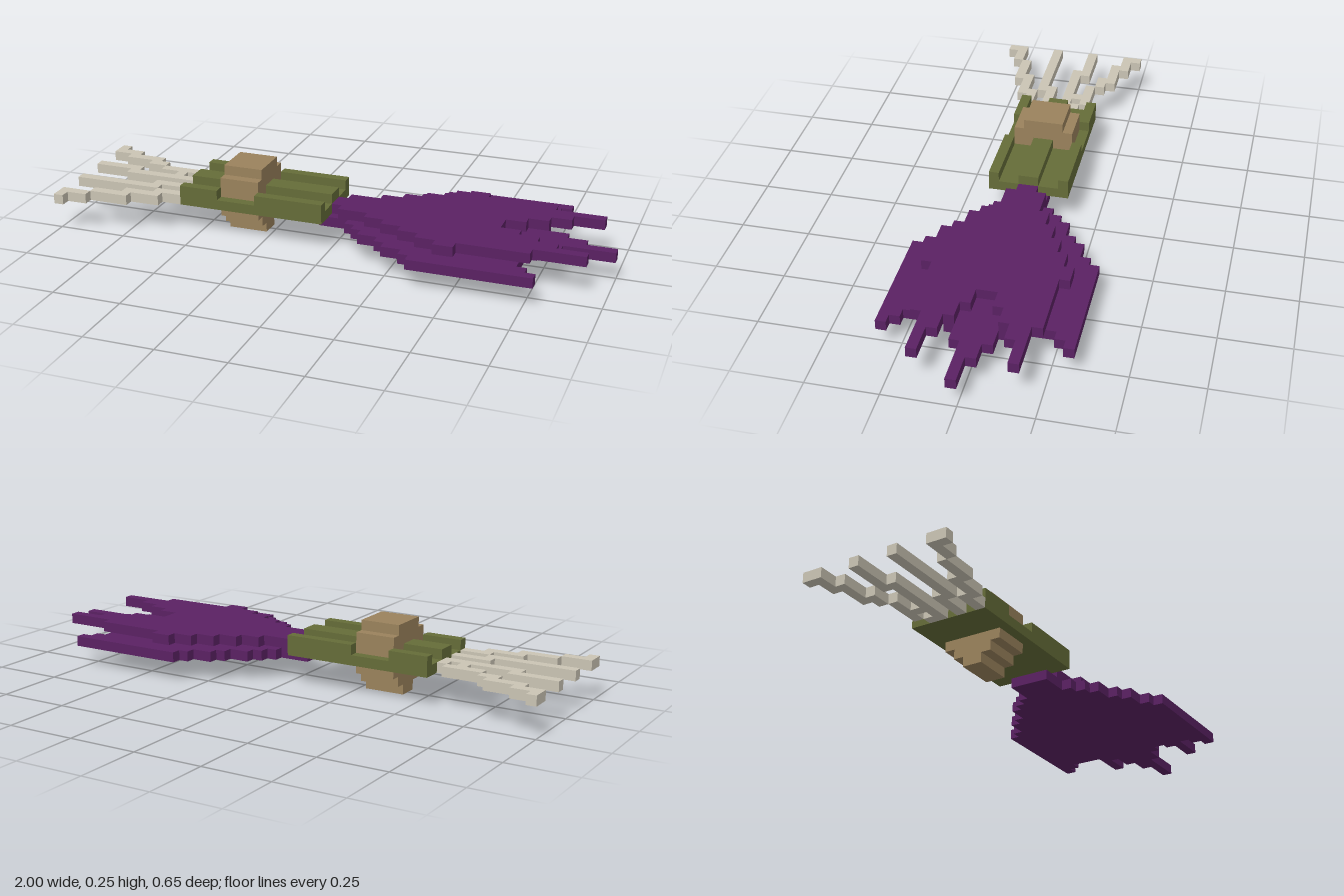
import * as THREE from 'three';
import { mergeGeometries } from 'three/addons/utils/BufferGeometryUtils.js';

// The model sits on a block grid, 55 blocks long.
const U = 2 / 55;

const material = (name, color) => {
  const m = new THREE.MeshStandardMaterial({ color });
  m.name = name;
  return m;
};

// Box between grid lines: x from 0 to 55, y from the ground, z from the centre line.
function block(x0, x1, y0, y1, z0, z1) {
  const g = new THREE.BoxGeometry((x1 - x0) * U, (y1 - y0) * U, (z1 - z0) * U);
  g.translate(((x0 + x1) / 2 - 27.5) * U, ((y0 + y1) / 2) * U, ((z0 + z1) / 2) * U);
  return g;
}

function part(name, mat, blocks) {
  const mesh = new THREE.Mesh(mergeGeometries(blocks.map(b => block(...b))), mat);
  mesh.name = name;
  return mesh;
}

// Rows [start, end] listed from the centre line outward, mirrored across z.
function mirroredRows(rows, y) {
  return rows.flatMap(([a, b], i) => [
    [a, b, y, y + 1, i, i + 1],
    [a, b, y, y + 1, -i - 1, -i],
  ]);
}

export function createModel() {
  const group = new THREE.Group();
  const purple = material('purple', 0x5a2163);
  const olive = material('olive', 0x656c38);
  const tan = material('tan', 0x9a825c);
  const cream = material('cream', 0xcac4b4);

  // Broad two-layer fan with ragged prongs
  const lower = [[26, 52], [26, 50], [29, 48], [30, 47], [31, 47],
    [33, 47], [34, 47], [36, 48], [37, 49]];
  const upper = [[27, 44], [28, 46], [31, 48], [33, 50], [35, 53], [37, 48], [39, 41]];
  group.add(part('fanLower', purple, mirroredRows(lower, 2)));
  group.add(part('fanUpper', purple, mirroredRows(upper, 3)));
  group.add(part('fanTip', purple, [[52, 55, 2, 3, 0, 1]]));

  // Flat body with a central ridge and side rails broken at the band
  group.add(part('body', olive, [[12, 27, 3, 4, -4, 4]]));
  group.add(part('centreRidge', olive, [[12, 27, 4, 5, -1, 1]]));
  const rails = [];
  for (const z of [-4, 3])
    for (const [a, b] of [[12, 16], [20, 27]]) rails.push([a, b, 4, 5, z, z + 1]);
  group.add(part('sideRails', olive, rails));

  // Stepped band above and below the body: [bottom, top, half width]
  const steps = [[0, 1, 1], [1, 2, 2], [2, 3, 3], [4, 6, 3], [6, 7, 2]];
  group.add(part('band', tan, steps.map(([a, b, w]) => [16, 20, a, b, -w, w])));

  // Four crooked fingers: [start, end, z row]
  const fingers = {
    outerRightFinger: [[0, 1, -7], [0, 3, -6], [2, 6, -5], [5, 7, -4], [7, 11, -3], [9, 10, -2], [11, 12, -2]],
    innerRightFinger: [[0, 5, -2], [4, 9, -1], [9, 12, -1]],
    innerLeftFinger: [[0, 9, 2], [8, 12, 1]],
    outerLeftFinger: [[0, 1, 7], [0, 3, 6], [3, 7, 5], [6, 10, 4], [9, 12, 3]],
  };
  for (const [name, runs] of Object.entries(fingers))
    group.add(part(name, cream, runs.map(([a, b, z]) => [a, b, 3, 4, z, z + 1])));

  return group;
}
